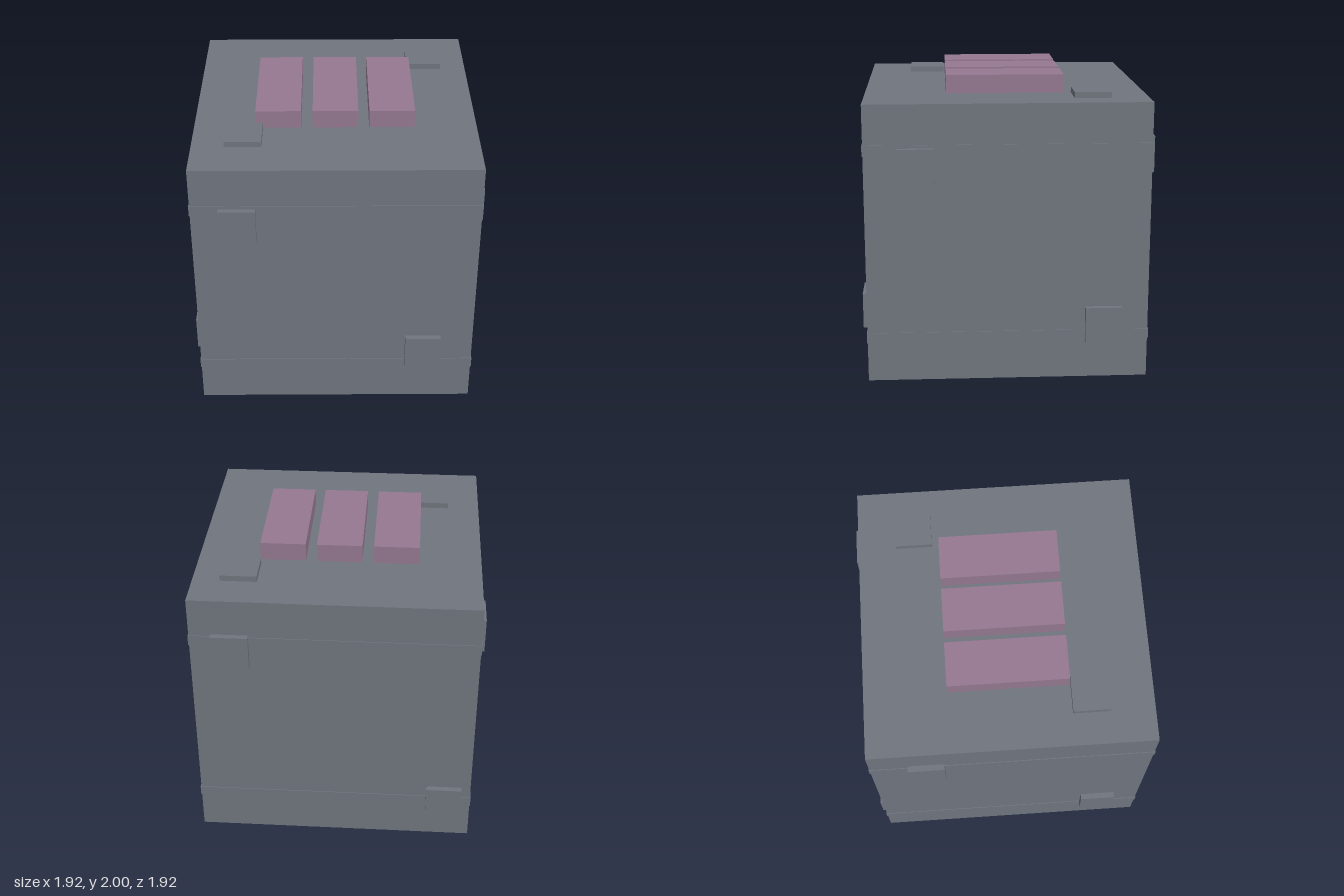
import * as THREE from 'three';

export function createModel() {
  const group = new THREE.Group();
  const stone = new THREE.MeshStandardMaterial({ color: 0x70757e });
  stone.name = 'slate grey';
  const mauve = new THREE.MeshStandardMaterial({ color: 0x947890 });
  mauve.name = 'dusty mauve';

  const box = (name, material, size, position) => {
    const mesh = new THREE.Mesh(new THREE.BoxGeometry(...size), material);
    mesh.name = name;
    mesh.position.set(...position);
    group.add(mesh);
  };

  const HALF = 0.92, MID = 0.96; // half width of the cube and height of its centre

  // Main cube
  box('body', stone, [HALF * 2, HALF * 2, HALF * 2], [0, MID, 0]);

  // Two thin bands wrapped around the cube
  for (const y of [0.335, 1.585]) box('band', stone, [1.85, 0.07, 1.85], [0, y, 0]);

  // Three raised bars on the lid
  for (const x of [-0.37, 0, 0.367]) box('topBar', mauve, [0.295, 0.12, 0.775], [x, 1.94, 0]);

  // Square studs, two on each side: axis, direction, then the two centres
  const PATCH = 0.238, DEPTH = 0.038;
  const studs = [
    ['frontStud', 2, 1, [[-0.625, 1.48], [0.585, 0.45]]],   // x, y
    ['backStud', 2, -1, [[0.66, 1.515], [-0.74, 0.335]]],   // x, y
    ['leftStud', 0, 1, [[1.48, 0.59], [0.41, -0.625]]],     // y, z
    ['rightStud', 0, -1, [[1.53, -0.555], [0.45, 0.625]]],  // y, z
    ['topStud', 1, 1, [[-0.59, 0.515], [0.625, -0.555]]],   // x, z
    ['bottomStud', 1, -1, [[0.585, 0.575], [-0.625, -0.51]]], // x, z
  ];
  for (const [name, axis, dir, centres] of studs) {
    for (const centre of centres) {
      const size = [PATCH, PATCH, PATCH];
      size[axis] = DEPTH;
      const position = [...centre];
      const out = dir * (HALF + DEPTH / 2) + (axis === 1 ? MID : 0);
      position.splice(axis, 0, out);
      box(name, stone, size, position);
    }
  }
  return group;
}
